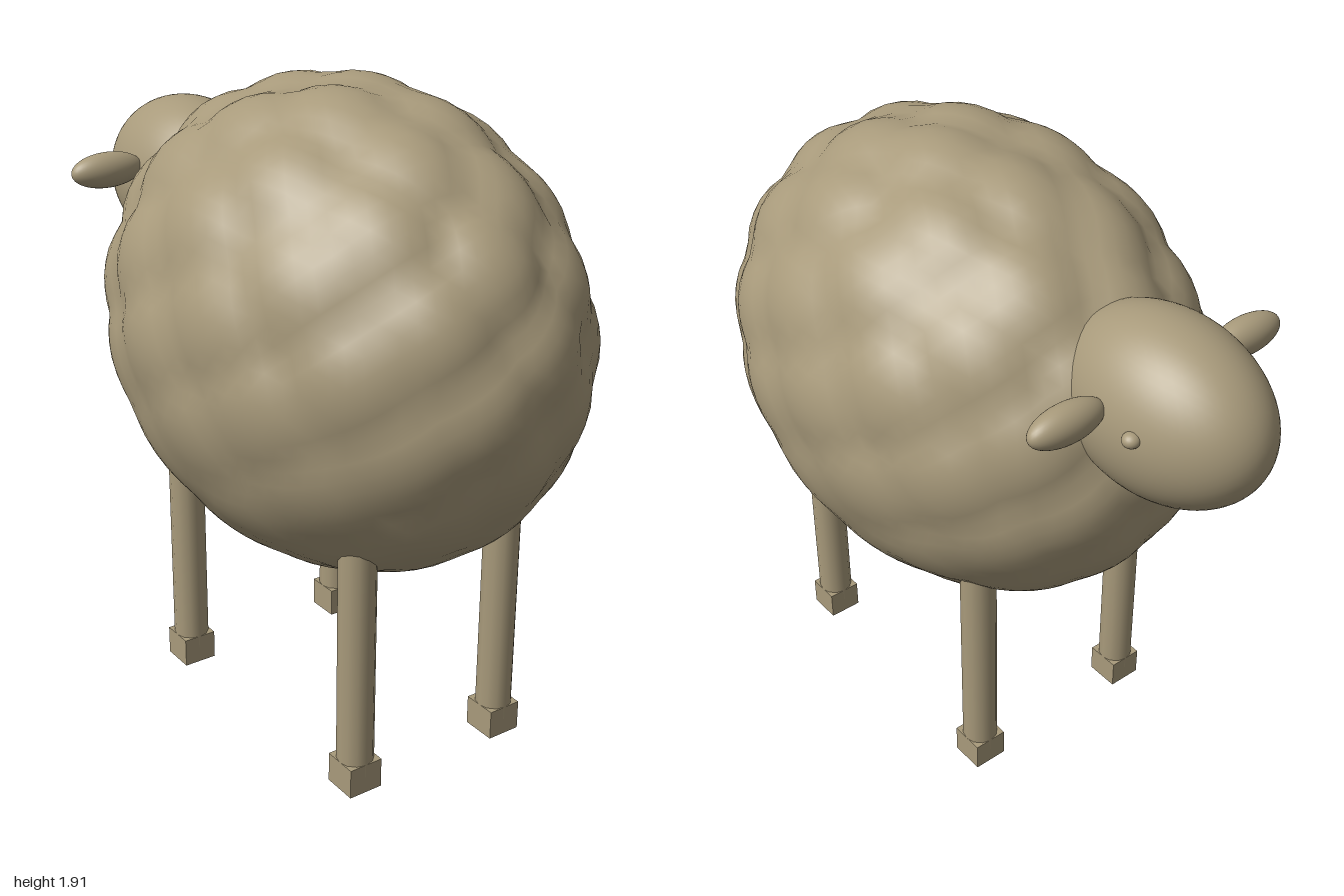
import * as THREE from 'three';
import { mergeVertices } from 'three/addons/utils/BufferGeometryUtils.js';

const wool = new THREE.MeshStandardMaterial({ color: 0xa89a7b });
wool.name = 'warm beige';

function add(parent, name, geometry, x, y, z) {
  const mesh = new THREE.Mesh(geometry, wool);
  mesh.name = name;
  mesh.position.set(x, y, z);
  parent.add(mesh);
  return mesh;
}

// Smooth ellipsoid with an even triangle layout
function ellipsoid(rx, ry, rz, detail) {
  const g = new THREE.IcosahedronGeometry(1, detail);
  g.deleteAttribute('uv');
  g.deleteAttribute('normal');
  const merged = mergeVertices(g, 1e-4);
  merged.scale(rx, ry, rz);
  merged.computeVertexNormals();
  return merged;
}

// Fleece: an ellipsoid covered in soft lumps that fade out towards the belly
function fleece(rx, ry, rz) {
  const g = ellipsoid(1, 1, 1, 15);
  const lumps = [];
  const count = 80;
  for (let i = 0; i < count; i++) {
    const y = 1 - (2 * (i + 0.5)) / count;
    const r = Math.sqrt(1 - y * y);
    const a = i * 2.39996;
    lumps.push(new THREE.Vector3(r * Math.cos(a), y, r * Math.sin(a)));
  }
  const pos = g.attributes.position;
  const v = new THREE.Vector3();
  for (let i = 0; i < pos.count; i++) {
    v.fromBufferAttribute(pos, i);
    const d = Math.min(...lumps.map((p) => p.distanceTo(v)));
    const dome = Math.max(0, 1 - (d / 0.25) ** 2);
    const strength = THREE.MathUtils.lerp(0.015, 0.05, THREE.MathUtils.smoothstep(v.y, -0.7, 0.3));
    v.multiplyScalar(1 + strength * (dome - 0.75));
    pos.setXYZ(i, v.x * rx, v.y * ry, v.z * rz);
  }
  g.computeVertexNormals();
  return g;
}

export function createModel() {
  const sheep = new THREE.Group();
  sheep.name = 'sheep';

  add(sheep, 'fleeceBody', fleece(0.61, 0.7, 0.832), 0, 1.21, 0.165);
  add(sheep, 'head', ellipsoid(0.222, 0.255, 0.34, 10), 0, 1.465, -0.66);

  for (const side of [-1, 1]) {
    const label = side > 0 ? 'left' : 'right';
    add(sheep, label + 'Ear', ellipsoid(0.12, 0.055, 0.05, 7), side * 0.31, 1.53, -0.635);
    add(sheep, label + 'Eye', ellipsoid(0.025, 0.021, 0.025, 4), side * 0.21, 1.505, -0.76);

    // Legs with square hooves
    for (const [end, x, z] of [['Head', 0.285, -0.245], ['Tail', 0.255, 0.612]]) {
      const leg = new THREE.Group();
      leg.name = label + end + 'EndLeg';
      leg.position.set(side * x, 0, z);
      sheep.add(leg);
      add(leg, 'shank', new THREE.CylinderGeometry(0.054, 0.054, 0.8, 12), 0, 0.45, 0);
      add(leg, 'hoof', new THREE.BoxGeometry(0.106, 0.09, 0.106), 0, 0.045, 0);
    }
  }
  return sheep;
}
